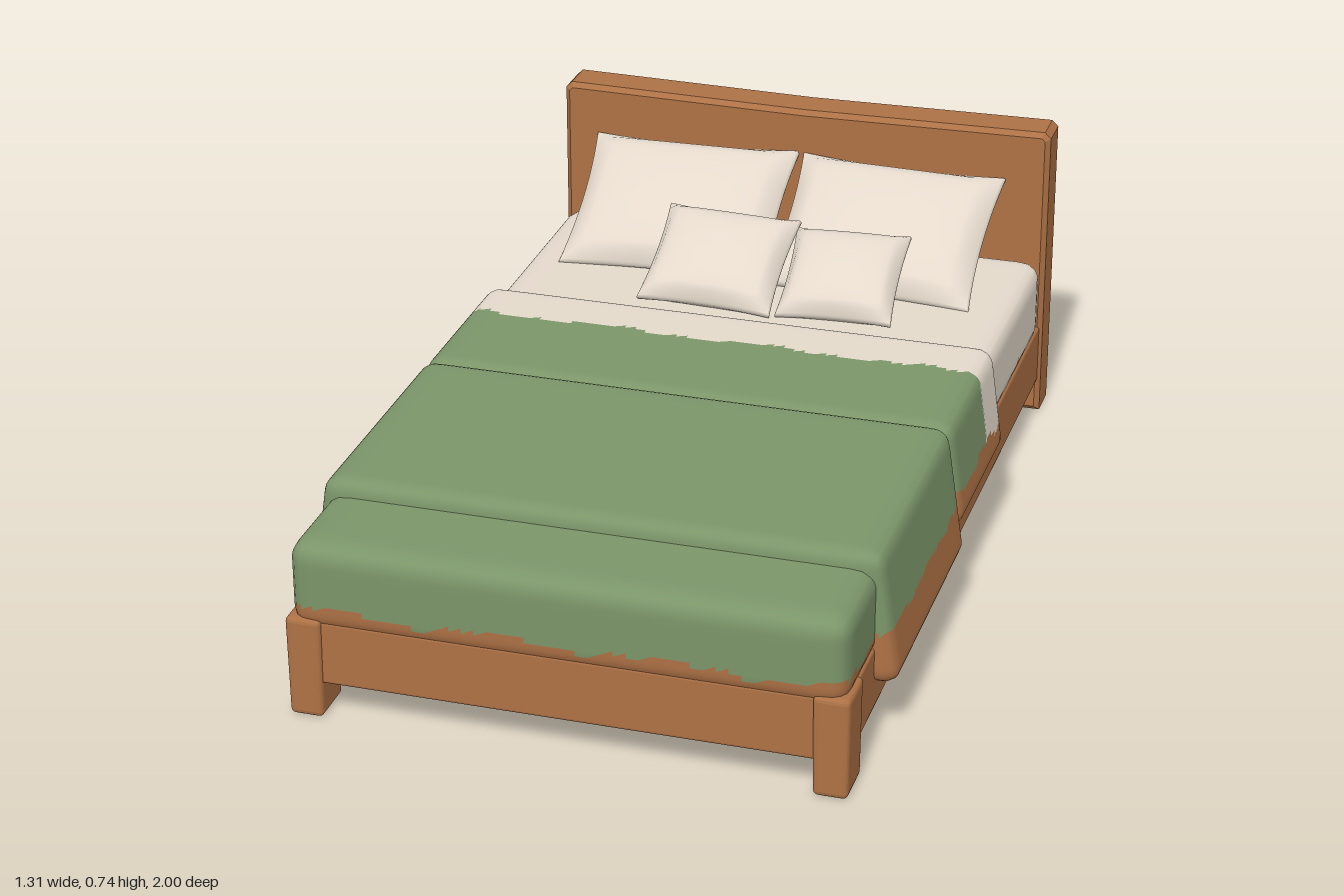
import * as THREE from 'three';
import { mergeVertices } from 'three/addons/utils/BufferGeometryUtils.js';
import { RoundedBoxGeometry } from 'three/addons/geometries/RoundedBoxGeometry.js';

const WOOD = 0xad7145, GREEN = 0x7b9569, LINEN = 0xe4d9cb;
const material = (color) => new THREE.MeshStandardMaterial({ color });

// Weld a box grid, move its vertices by a rule and smooth the normals
function mould(w, h, d, segs, rule) {
  let g = new THREE.BoxGeometry(w, h, d, ...segs);
  g.deleteAttribute('normal');
  g.deleteAttribute('uv');
  g = mergeVertices(g);
  const p = g.attributes.position, v = new THREE.Vector3();
  for (let i = 0; i < p.count; i++) {
    rule(v.fromBufferAttribute(p, i));
    p.setXYZ(i, v.x, v.y, v.z);
  }
  g.computeVertexNormals();
  return g;
}

// Split a geometry into one mesh per colour, chosen at each triangle's centre
function paint(name, g, colourAt) {
  const group = new THREE.Group(), sets = new Map();
  const p = g.attributes.position, idx = g.index.array, c = new THREE.Vector3(), v = new THREE.Vector3();
  group.name = name;
  for (let i = 0; i < idx.length; i += 3) {
    c.set(0, 0, 0);
    for (let k = 0; k < 3; k++) c.add(v.fromBufferAttribute(p, idx[i + k]));
    const colour = colourAt(c.divideScalar(3));
    if (!sets.has(colour)) sets.set(colour, []);
    sets.get(colour).push(idx[i], idx[i + 1], idx[i + 2]);
  }
  const labels = { [WOOD]: 'Hem', [GREEN]: 'Cover', [LINEN]: 'Sheet' };
  for (const [colour, list] of sets) {
    const part = g.clone();
    part.setIndex(list);
    const mesh = new THREE.Mesh(part, material(colour));
    mesh.name = name + labels[colour];
    group.add(mesh);
  }
  return group;
}

// Rounded soft block between two heights and two depths, flaring towards its lower edge
function softBlock(halfW, y0, y1, z0, z1, r, flare, segs) {
  const h = y1 - y0, d = z1 - z0, q = new THREE.Vector3();
  const inner = new THREE.Vector3(halfW - r, h / 2 - r, d / 2 - r), low = inner.clone().negate();
  const g = mould(halfW * 2, h, d, segs, (v) => {
    q.copy(v).clamp(low, inner);
    v.sub(q).setLength(r).add(q);
    v.x *= 1 + flare * (0.5 - v.y / h) / halfW;
  });
  return g.translate(0, (y0 + y1) / 2, (z0 + z1) / 2);
}

// Plump cushion with pinched edges and pointed corners, leaning back
function pillow(name, w, t, d, pos, lean, twist = 0) {
  const g = mould(w, t, d, [20, 4, 18], (v) => {
    const a = (2 * v.x) / w, b = (2 * v.z) / d, s = (2 * v.y) / t;
    const puff = Math.pow(Math.max(0, (1 - a * a) * (1 - b * b)), 0.42);
    v.y *= 0.16 + 0.84 * puff;
    v.x *= 1 - 0.05 * (1 - b * b) * a * a - 0.02 * s * s;
    v.z *= 1 - 0.06 * (1 - a * a) * b * b - 0.02 * s * s;
  });
  const mesh = new THREE.Mesh(g, material(LINEN));
  mesh.name = name;
  mesh.position.set(...pos);
  mesh.rotation.set(lean, twist, 0);
  return mesh;
}

export function createModel() {
  const bed = new THREE.Group();
  bed.name = 'bed';
  const add = (name, g, x, y, z) => {
    const mesh = new THREE.Mesh(g, material(WOOD));
    mesh.name = name;
    mesh.position.set(x, y, z);
    bed.add(mesh);
    return mesh;
  };

  // Headboard panel with its two feet
  const b = 0.012;
  const outline = [[-0.615, 0], [-0.54, 0], [-0.54, 0.08], [0.54, 0.08], [0.54, 0], [0.615, 0],
    [0.615, 0.725], [0.6, 0.74], [0, 0.732], [-0.6, 0.74], [-0.615, 0.725]];
  const panel = new THREE.Shape(outline.map(([x, y]) => new THREE.Vector2(x, y)));
  add('headboard', new THREE.ExtrudeGeometry(panel, {
    depth: 0.11 - 2 * b, bevelEnabled: true, bevelSize: b, bevelOffset: -b, bevelThickness: b, bevelSegments: 1,
  }), 0, 0, -1 + b);

  // Base frame and front corner posts
  add('baseFrame', new RoundedBoxGeometry(1.215, 0.15, 1.9, 2, 0.008), 0, 0.155, 0.04);
  for (const side of [-1, 1]) {
    const post = new RoundedBoxGeometry(0.08, 0.235, 0.115, 2, 0.012), p = post.attributes.position;
    for (let i = 0; i < p.count; i++) {
      if (p.getY(i) < 0) p.setX(i, p.getX(i) * 0.94); // slight taper of the foot
    }
    post.computeVertexNormals();
    add(side > 0 ? 'leftFrontLeg' : 'rightFrontLeg', post, side * 0.576, 0.1175, 0.9425);
  }

  // Wavy lower limit of the fabric
  const ragged = (v) => 0.008 * Math.sin(v.x * 17 + v.z * 23) + 0.005 * Math.sin(v.x * 53 - v.z * 61);

  // Mattress: linen near the head, green towards the foot
  const mattress = softBlock(0.607, 0.205, 0.41, -0.9, 0.995, 0.045, 0, [44, 16, 70]);
  bed.add(paint('mattress', mattress, (v) => {
    if (v.y < (v.z < -0.3 ? 0.238 : 0.26) + ragged(v)) return WOOD;
    return v.z < -0.3 ? LINEN : GREEN;
  }));

  // Upper blanket with its turned-down linen edge
  const upper = softBlock(0.615, 0.19, 0.44, -0.315, 0.135, 0.035, 0.035, [48, 20, 36]);
  bed.add(paint('upperBlanket', upper, (v) => {
    if (v.y < 0.268 + ragged(v)) return WOOD;
    return v.z < -0.16 + ragged(v) ? LINEN : GREEN;
  }));

  // Lower blanket hanging further down the sides
  const lower = softBlock(0.615, 0.14, 0.445, 0.125, 0.765, 0.035, 0.045, [48, 24, 44]);
  bed.add(paint('lowerBlanket', lower, (v) => (v.y < 0.262 + ragged(v) * 0.5 ? WOOD : GREEN)));

  // Pillows against the headboard and two smaller cushions in front
  bed.add(
    pillow('rightPillow', 0.52, 0.13, 0.4, [-0.265, 0.515, -0.72], 0.54, 0.02),
    pillow('leftPillow', 0.51, 0.13, 0.4, [0.252, 0.513, -0.72], 0.54, -0.02),
    pillow('rightCushion', 0.33, 0.115, 0.29, [-0.098, 0.49, -0.495], 0.5, -0.03),
    pillow('leftCushion', 0.28, 0.11, 0.27, [0.207, 0.482, -0.5], 0.48, 0.04),
  );
  return bed;
}
